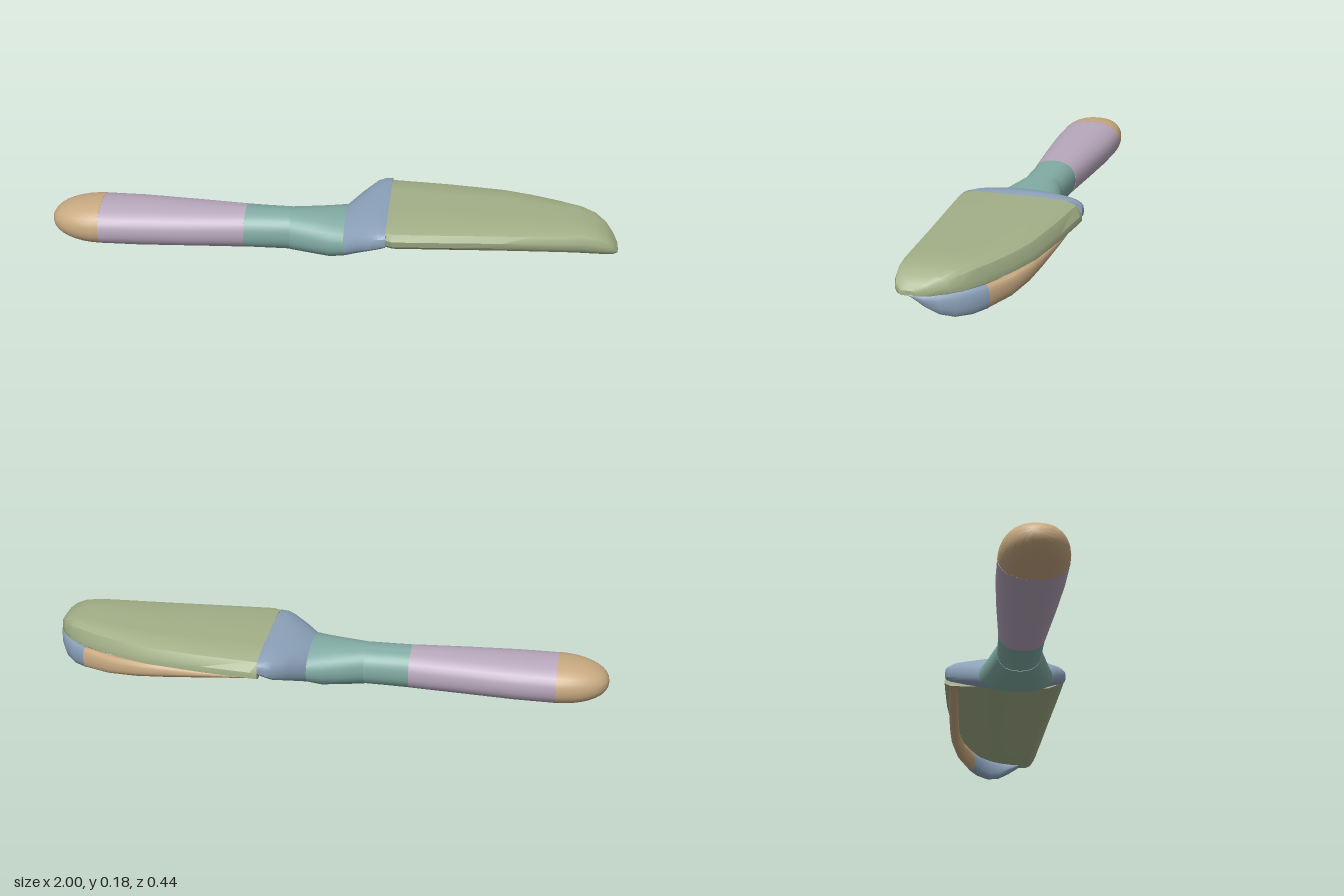
import * as THREE from 'three';
import { toCreasedNormals } from 'three/addons/utils/BufferGeometryUtils.js';

const material = (name, color) => {
  const m = new THREE.MeshStandardMaterial({ color });
  m.name = name;
  return m;
};

// Skin a list of rings (each a loop of Vector3, counter-clockwise about +x) and cap both ends.
function loft(rings, crease = 0.6) {
  const n = rings[0].length;
  const pos = [], index = [];
  rings.forEach(r => r.forEach(p => pos.push(p.x, p.y, p.z)));
  for (let i = 0; i < rings.length - 1; i++) {
    for (let j = 0; j < n; j++) {
      const k = (j + 1) % n;
      const a = i * n + j, b = i * n + k, c = a + n, d = b + n;
      index.push(a, b, c, b, d, c);
    }
  }
  [0, rings.length - 1].forEach((i, end) => {
    const centre = new THREE.Vector3();
    rings[i].forEach(p => centre.addScaledVector(p, 1 / n));
    const c = pos.length / 3;
    pos.push(centre.x, centre.y, centre.z);
    for (let j = 0; j < n; j++) {
      const a = i * n + j, b = i * n + (j + 1) % n;
      if (end) index.push(c, a, b); else index.push(c, b, a);
    }
  });
  const g = new THREE.BufferGeometry();
  g.setAttribute('position', new THREE.Float32BufferAttribute(pos, 3));
  g.setIndex(index);
  return toCreasedNormals(g, crease);
}

// Rounded ring from [x, bottom, top, back z, front z].
function roundRing([x, y0, y1, z0, z1], power = 2.3, n = 32) {
  const bend = v => Math.sign(v) * Math.abs(v) ** (2 / power);
  return Array.from({ length: n }, (_, j) => {
    const a = j / n * Math.PI * 2;
    return new THREE.Vector3(x,
      (y0 + y1) / 2 + bend(Math.cos(a)) * (y1 - y0) / 2,
      (z0 + z1) / 2 + bend(Math.sin(a)) * (z1 - z0) / 2);
  });
}

// Blade cross-section as fractions of its width and height: flat faces, softer back edge.
const BLADE = [[0.14, 0.97], [0.3, 1], [0.6, 1], [0.9, 1], [0.97, 0.9], [1, 0.62], [0.99, 0.35],
  [0.95, 0.15], [0.88, 0], [0.45, 0], [0.05, 0], [0, 0.12], [0, 0.4], [0.05, 0.8]];
const bladeRing = ([x, y0, y1, z0, z1]) => BLADE.map(([u, v]) =>
  new THREE.Vector3(x, y0 + v * (y1 - y0), z0 + u * (z1 - z0)));

// Rim hanging under the blade's curved edge: path of [x, outer z, bottom y].
function rimGeometry(path, thickness = 0.035, n = 16) {
  const top = 0.108;
  const rings = path.map(([x, z, bottom], i) => {
    const p = path[Math.max(0, i - 1)], q = path[Math.min(path.length - 1, i + 1)];
    const len = Math.hypot(q[0] - p[0], q[1] - p[1]);
    const nx = -(q[1] - p[1]) / len, nz = (q[0] - p[0]) / len;
    const h = (top - bottom) / 2;
    return Array.from({ length: n }, (_, j) => {
      const a = j / n * Math.PI * 2;
      const s = thickness / 2 * (1 + Math.sign(Math.sin(a)) * Math.abs(Math.sin(a)) ** 0.7);
      return new THREE.Vector3(x + nx * s, bottom + h + Math.cos(a) * h, z + nz * s);
    });
  });
  return loft(rings, 0.8);
}

export function createModel() {
  const tan = material('tan', 0xc8aa82);
  const mauve = material('mauve', 0xb8a8bc);
  const teal = material('teal', 0x82aca4);
  const blue = material('blue', 0x8ca2ba);
  const green = material('green', 0xa3b088);

  const model = new THREE.Group();
  model.name = 'bladedTool';
  const add = (name, geometry, mat) => {
    const mesh = new THREE.Mesh(geometry, mat);
    mesh.name = name;
    model.add(mesh);
  };

  // Rounded end of the handle
  const pommel = [];
  for (let i = 0; i <= 9; i++) {
    const t = i / 9 * Math.PI / 2;
    const r = Math.max(0.02, Math.sin(t) ** 0.9);
    pommel.push([-0.82 - 0.18 * Math.cos(t), 0.083 - 0.075 * r, 0.083 + 0.075 * r,
      0.03 - 0.115 * r, 0.03 + 0.115 * r]);
  }
  add('pommel', loft(pommel.map(r => roundRing(r))), tan);

  // Handle
  add('grip', loft([
    [-0.82, 0.008, 0.157, -0.086, 0.145], [-0.68, 0.007, 0.157, -0.084, 0.141],
    [-0.5, 0.008, 0.154, -0.072, 0.128], [-0.305, 0.008, 0.15, -0.055, 0.11],
  ].map(r => roundRing(r))), mauve);
  add('neckBand', loft([
    [-0.305, 0.008, 0.15, -0.054, 0.108], [-0.225, 0.008, 0.149, -0.051, 0.106],
    [-0.145, 0.008, 0.148, -0.05, 0.105],
  ].map(r => roundRing(r))), teal);
  add('neckFlare', loft([
    [-0.145, 0.006, 0.148, -0.05, 0.105], [-0.05, 0.002, 0.148, -0.076, 0.132],
    [0, 0.001, 0.148, -0.09, 0.146], [0.05, 0.015, 0.147, -0.104, 0.16],
  ].map(r => roundRing(r))), teal);

  // Cranked collar lifting the blade above the handle
  add('collar', loft([
    [0.05, 0.015, 0.147, -0.104, 0.16], [0.1, 0.046, 0.17, -0.16, 0.186],
    [0.15, 0.078, 0.183, -0.215, 0.213], [0.175, 0.094, 0.184, -0.222, 0.22],
    [0.2, 0.108, 0.18, -0.222, 0.22],
  ].map((r, i) => roundRing(r, 2.3 + i * 0.35))), blue);

  // Flat blade with a curved back edge
  add('blade', loft([
    [0.2, 0.1, 0.18, -0.222, 0.208], [0.225, 0.1, 0.18, -0.221, 0.219],
    [0.4, 0.1, 0.18, -0.208, 0.207], [0.6, 0.1, 0.18, -0.183, 0.192],
    [0.7, 0.1, 0.18, -0.155, 0.185], [0.8, 0.1, 0.18, -0.118, 0.178],
    [0.87, 0.1, 0.18, -0.085, 0.172], [0.92, 0.1, 0.173, -0.05, 0.168],
    [0.955, 0.1, 0.158, -0.012, 0.162], [0.98, 0.1, 0.138, 0.035, 0.153],
    [0.995, 0.102, 0.118, 0.08, 0.135],
  ].map(bladeRing)), green);

  // Rim below the blade, deepening towards the tip
  add('edgeRim', rimGeometry([
    [0.2, -0.205, 0.102], [0.4, -0.2, 0.079], [0.55, -0.192, 0.062],
    [0.65, -0.183, 0.051], [0.76, -0.158, 0.039], [0.86, -0.113, 0.03],
  ]), tan);
  add('tipRim', rimGeometry([
    [0.86, -0.113, 0.029], [0.91, -0.078, 0.024], [0.95, -0.034, 0.025],
    [0.975, 0.01, 0.038], [0.99, 0.055, 0.065], [0.999, 0.1, 0.1],
  ]), blue);

  return model;
}
